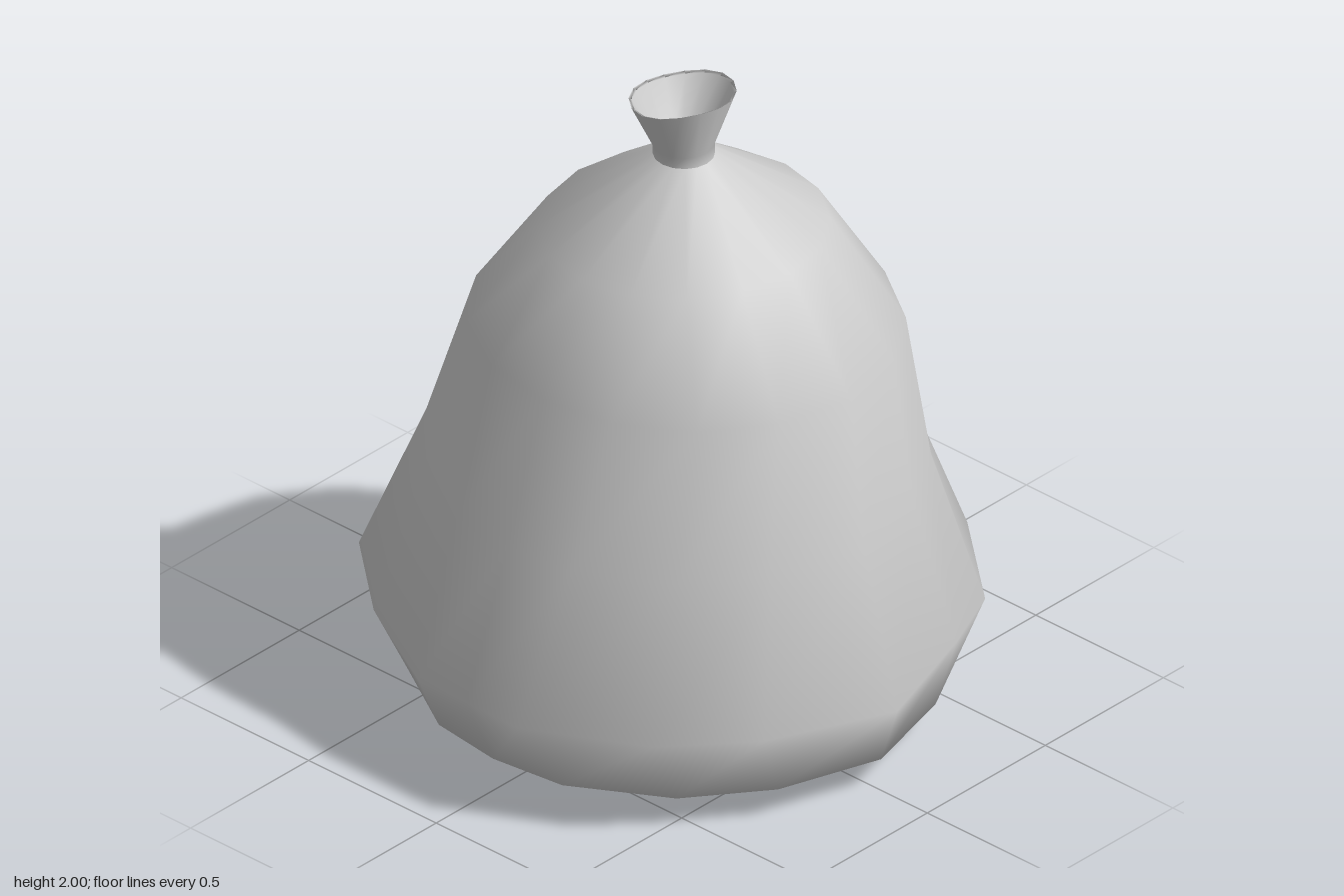
import * as THREE from 'three';

const SIDES = 16;

// Widest outline of the sack as [x, z], going from +x towards +z
const BULGE = [
  [0.85, 0], [0.85, 0.37], [0.58, 0.69], [0.35, 0.79],
  [-0.04, 0.92], [-0.42, 0.75], [-0.66, 0.54], [-0.85, 0.18],
  [-0.85, -0.02], [-0.85, -0.21], [-0.66, -0.56], [-0.42, -0.84],
  [-0.04, -0.93], [0.35, -0.92], [0.62, -0.72], [0.85, -0.40],
];

// Ring: height, centre x and z, radius x and z, share of the uneven bulge outline
const BODY = [
  [0.0, 0.06, 0, 0.61, 0.61, 0],
  [0.1, 0.025, 0, 0.775, 0.815, 0.5],
  [0.33, 0, 0, 0.85, 0.925, 1],
  [0.79, 0.015, 0, 0.705, 0.755, 0.5],
  [1.23, 0.06, 0, 0.61, 0.65, 0.15],
  [1.55, 0.06, -0.01, 0.43, 0.415, 0],
  [1.785, 0.06, -0.01, 0.09, 0.09, 0],
];
const NECK = [
  [1.785, 0.06, -0.01, 0.09, 0.09, 0],
  [1.82, 0.06, -0.01, 0.092, 0.088, 0],
  [1.98, 0.06, -0.015, 0.17, 0.143, 0],
  [1.975, 0.06, -0.015, 0.16, 0.134, 0],
  [1.83, 0.06, -0.01, 0.075, 0.07, 0],
  [1.8, 0.06, -0.01, 0.002, 0.002, 0],
];

// Join a stack of rings into one smooth skin
function skin(name, rings, material, lift = () => 0) {
  const pos = [], index = [];
  rings.forEach(([y, cx, cz, rx, rz, blend]) => {
    for (let k = 0; k < SIDES; k++) {
      const a = (k / SIDES) * Math.PI * 2;
      const [bx, bz] = BULGE[k];
      const x = THREE.MathUtils.lerp(Math.cos(a), bx / 0.85, blend);
      const z = THREE.MathUtils.lerp(Math.sin(a), bz / 0.925, blend);
      pos.push(cx + rx * x, y + lift(y, a), cz + rz * z);
    }
  });
  for (let j = 0; j < rings.length - 1; j++) {
    for (let k = 0; k < SIDES; k++) {
      const n = (k + 1) % SIDES;
      const a = j * SIDES + k, b = j * SIDES + n;
      index.push(a, a + SIDES, b, b, a + SIDES, b + SIDES);
    }
  }
  const geometry = new THREE.BufferGeometry();
  geometry.setAttribute('position', new THREE.Float32BufferAttribute(pos, 3));
  geometry.setIndex(index);
  geometry.computeVertexNormals();
  const mesh = new THREE.Mesh(geometry, material);
  mesh.name = name;
  return mesh;
}

export function createModel() {
  const material = new THREE.MeshStandardMaterial({ color: 0xcccccc, side: THREE.DoubleSide });
  const group = new THREE.Group();
  group.name = 'tiedSack';

  // Sagging body, open underneath
  group.add(skin('sackBody', BODY, material));

  // Flared, slightly wavy mouth above the tie, with its inner funnel
  const wave = (y, a) => (y > 1.9 ? 0.012 * Math.sin(a) - 0.008 * Math.cos(a) + 0.004 * Math.cos(3 * a) : 0);
  group.add(skin('sackNeck', NECK, material, wave));

  return group;
}
